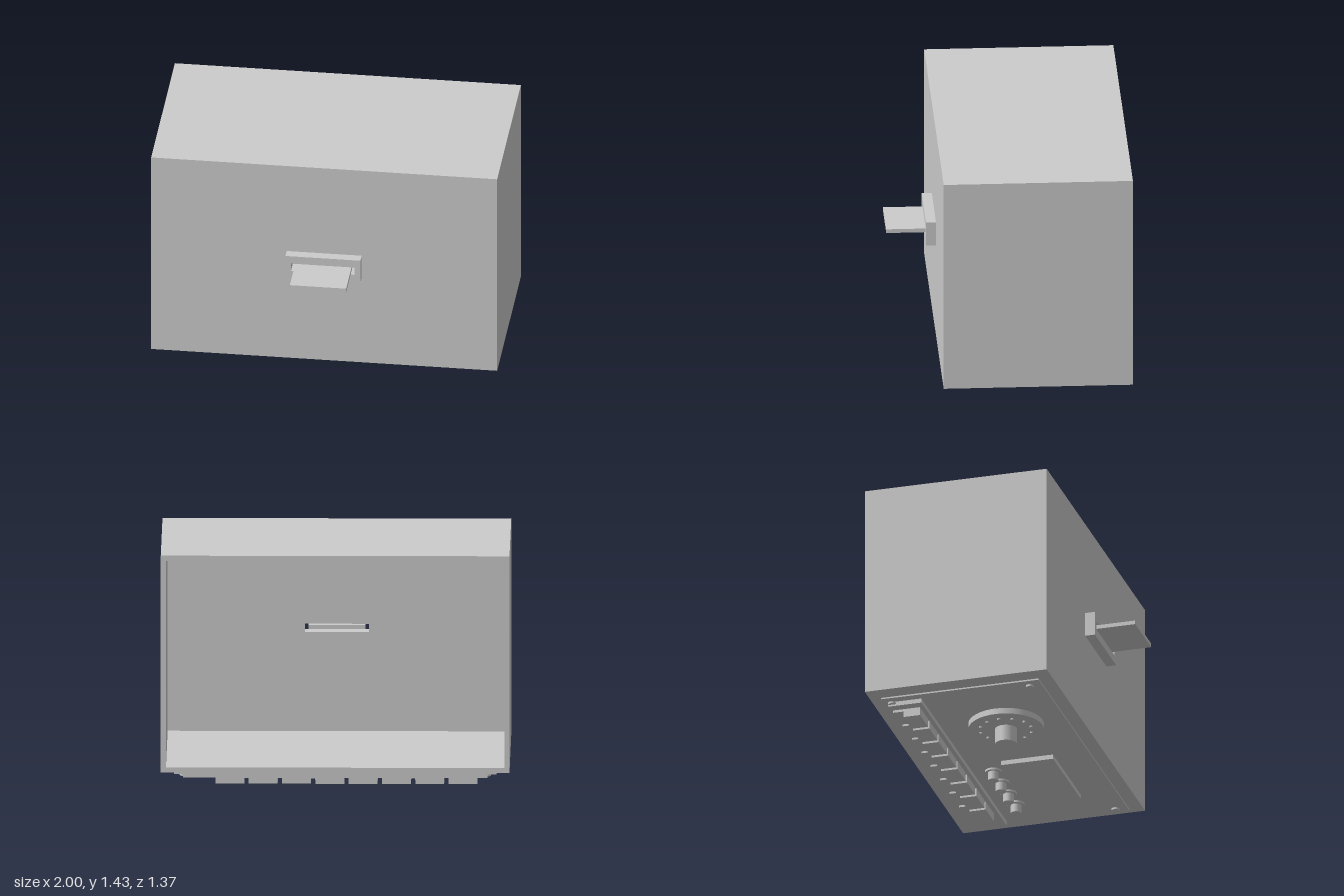
import * as THREE from 'three';

export function createModel() {
  const root = new THREE.Group();
  const mat = new THREE.MeshStandardMaterial({ color: 0xcccccc });

  function add(name, geometry, parent = root) {
    const mesh = new THREE.Mesh(geometry, mat);
    mesh.name = name;
    parent.add(mesh);
    return mesh;
  }
  // Box given by its limits on each axis
  function box(name, x0, x1, y0, y1, z0, z1, parent) {
    const mesh = add(name, new THREE.BoxGeometry(x1 - x0, y1 - y0, z1 - z0), parent);
    mesh.position.set((x0 + x1) / 2, (y0 + y1) / 2, (z0 + z1) / 2);
    return mesh;
  }
  // Upright cylinder between two heights
  function disc(name, x, z, r, y0, y1, sides, parent) {
    const mesh = add(name, new THREE.CylinderGeometry(r, r, y1 - y0, sides), parent);
    mesh.position.set(x, (y0 + y1) / 2, z);
    return mesh;
  }
  // Rectangular plate with a rectangular opening, extruded along z
  function rectPath(path, [x0, x1, y0, y1]) {
    path.moveTo(x0, y0);
    path.lineTo(x1, y0);
    path.lineTo(x1, y1);
    path.lineTo(x0, y1);
    path.closePath();
    return path;
  }
  function frame(name, outer, inner, z0, z1) {
    const shape = rectPath(new THREE.Shape(), outer);
    shape.holes.push(rectPath(new THREE.Path(), inner));
    const geo = new THREE.ExtrudeGeometry(shape, { depth: z1 - z0, bevelEnabled: false });
    return add(name, geo.translate(0, 0, z0));
  }

  // Housing: open at the back, with a slot through the front wall
  const slot = [-0.184, 0.184, 0.768, 0.816];
  const t = 0.03;
  frame('housingWalls', [-1, 1, 0.158, 1.427], [-1 + t, 1 - t, 0.158 + t, 1.427 - t], -0.685, 0.402 - t);
  frame('frontWall', [-1, 1, 0.158, 1.427], slot, 0.402 - t, 0.402);

  // Card reader
  frame('slotBezel', [-0.217, 0.217, 0.72, 0.864], slot, 0.402, 0.46);
  box('card', -0.163, 0.163, 0.781, 0.804, 0.39, 0.685);

  // Control panel under the housing
  const panel = new THREE.Group();
  panel.name = 'controlPanel';
  root.add(panel);
  box('panelPlate', -0.926, 0.926, 0.134, 0.143, -0.611, 0.332, panel);
  for (const x of [-0.87, 0.87])
    for (const z of [-0.56, 0.263]) disc('screw', x, z, 0.023, 0.118, 0.13, 16, panel);

  // Display block
  box('display', 0.07, 0.64, 0.107, 0.134, -0.185, 0.125, panel);

  // Rotary dial with a ring of marks and a tall knob
  const dx = -0.413, dz = -0.013;
  disc('dialBase', dx, dz, 0.217, 0.095, 0.13, 48, panel);
  disc('dialKnob', dx, dz, 0.064, 0, 0.095, 32, panel);
  for (let i = 0; i < 12; i++) {
    const a = (i / 12) * Math.PI * 2;
    disc('dialMark', dx + 0.15 * Math.cos(a), dz + 0.15 * Math.sin(a), 0.01, 0.085, 0.095, 10, panel);
  }

  // Row of small knobs with collars
  for (let i = 0; i < 4; i++) {
    const x = 0.127 + i * 0.154;
    disc('smallKnobCollar', x, -0.248, 0.048, 0.092, 0.104, 24, panel);
    disc('smallKnob', x, -0.248, 0.031, 0.042, 0.092, 24, panel);
  }

  // Key bar with eight stepped keys
  box('keyBar', -0.872, 0.872, 0.108, 0.134, -0.585, -0.385, panel);
  for (let i = 0; i < 8; i++) {
    const x = -0.732 + i * 0.191;
    box('key', x - 0.083, x + 0.083, 0.058, 0.108, -0.508, -0.41, panel);
    box('keyStep', x - 0.083, x + 0.083, 0.093, 0.108, -0.57, -0.508, panel);
  }

  return root;
}
